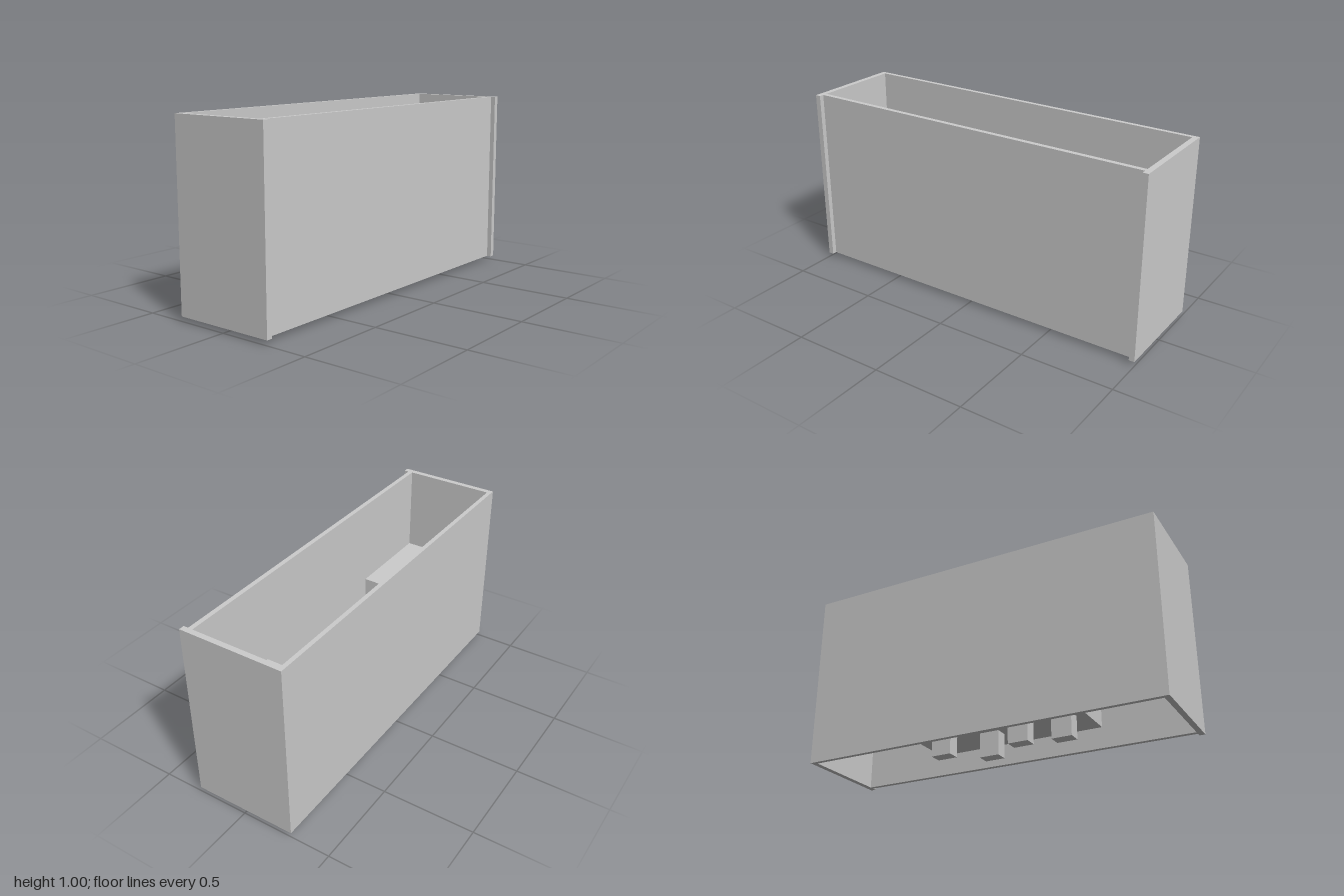
import * as THREE from 'three';

const material = new THREE.MeshStandardMaterial({ color: 0xcccccc });

function add(group, name, geometry, x = 0, y = 0, z = 0) {
  const mesh = new THREE.Mesh(geometry, material);
  mesh.name = name;
  mesh.position.set(x, y, z);
  group.add(mesh);
  return mesh;
}

function extrude(points, depth) {
  const shape = new THREE.Shape(points.map(([x, y]) => new THREE.Vector2(x, y)));
  return new THREE.ExtrudeGeometry(shape, { depth, bevelEnabled: false });
}

export function createModel() {
  const group = new THREE.Group();
  group.name = 'openTrough';
  const bottom = 0.025, height = 0.972;

  // Back and both ends: one U-shaped wall, open at top and bottom
  const wall = extrude([
    [-1, -0.28], [-0.97, -0.28], [-0.97, 0.26], [0.97, 0.26],
    [0.97, -0.28], [1, -0.28], [1, 0.283], [-1, 0.283],
  ], height);
  wall.rotateX(-Math.PI / 2);
  add(group, 'backAndEndWalls', wall, 0, bottom, 0);

  // Front panel, set back between the ends
  add(group, 'frontPanel', new THREE.BoxGeometry(1.94, height, 0.025), 0, bottom + height / 2, 0.242);

  // Floor: a shelf at each end with a sunken well between them
  const shelf = 0.5, well = 0.14, t = 0.02;
  const floor = extrude([
    [-0.97, shelf], [-0.47 - t / 2, shelf], [-0.47 - t / 2, well], [0.48 + t / 2, well],
    [0.48 + t / 2, shelf], [0.97, shelf], [0.97, shelf + t], [0.48 - t / 2, shelf + t],
    [0.48 - t / 2, well + t], [-0.47 + t / 2, well + t], [-0.47 + t / 2, shelf + t], [-0.97, shelf + t],
  ], 0.49);
  add(group, 'steppedFloor', floor, 0, 0, -0.26);

  // Pegs through the well floor: x, z, bottom height
  const pegs = [[-0.37, -0.01, 0.015], [-0.165, -0.085, 0], [0.07, 0.05, 0.006], [0.28, -0.085, 0.004]];
  for (const [x, z, y] of pegs) {
    add(group, 'peg', new THREE.BoxGeometry(0.11, 0.18, 0.07), x, y + 0.09, z);
  }
  return group;
}
